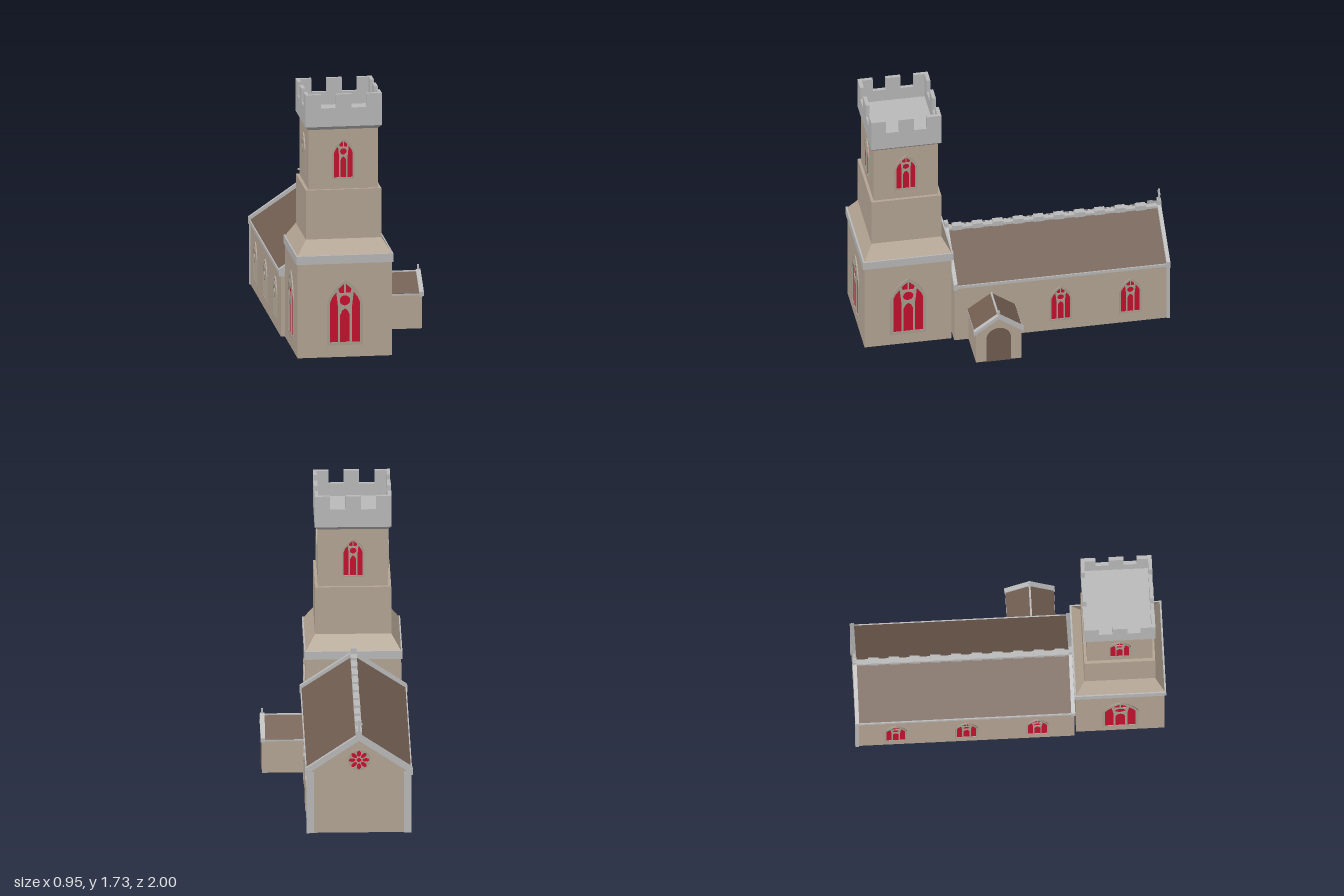
import * as THREE from 'three';

const mat = (name, color, side = THREE.FrontSide) => {
  const m = new THREE.MeshStandardMaterial({ color, side });
  m.name = name;
  return m;
};
const WALL = mat('sandstone', 0xb5a695, THREE.DoubleSide);
const TRIM = mat('grey stone', 0xbababa);
const ROOF = mat('brown tiles', 0x715d50, THREE.DoubleSide);
const GLASS = mat('red glass', 0xc8102e, THREE.DoubleSide);
const TRACERY = mat('tracery stone', 0xaba092);

const CX = -0.132; // shared axis of tower and nave
const TZ = 0.705;  // tower centre

function add(parent, name, geometry, material, x = 0, y = 0, z = 0) {
  const m = new THREE.Mesh(geometry, material);
  m.name = name;
  m.position.set(x, y, z);
  parent.add(m);
  return m;
}

function group(parent, name, x = 0, y = 0, z = 0, ry = 0) {
  const g = new THREE.Group();
  g.name = name;
  g.position.set(x, y, z);
  g.rotation.y = ry;
  parent.add(g);
  return g;
}

// box given by its centre x, z and its lower and upper height
function box(parent, name, material, w, d, y0, y1, x = 0, z = 0) {
  return add(parent, name, new THREE.BoxGeometry(w, y1 - y0, d), material, x, (y0 + y1) / 2, z);
}

// box whose top has another size than its bottom
function frustum(parent, name, material, w0, d0, w1, d1, y0, y1) {
  const g = new THREE.BoxGeometry(w0, y1 - y0, d0);
  const p = g.attributes.position;
  for (let i = 0; i < p.count; i++) {
    if (p.getY(i) > 0) {
      p.setX(i, p.getX(i) * w1 / w0);
      p.setZ(i, p.getZ(i) * d1 / d0);
    }
  }
  g.computeVertexNormals();
  return add(parent, name, g, material, 0, (y0 + y1) / 2, 0);
}

const poly = (pts) => new THREE.Shape(pts.map(([x, y]) => new THREE.Vector2(x, y)));
const extrude = (shape, depth) =>
  new THREE.ExtrudeGeometry(shape, { depth, bevelEnabled: false, curveSegments: 10 });

// pentagonal gable and the inverted V that covers it
const gable = (half, eave, apex, depth) =>
  extrude(poly([[-half, 0], [half, 0], [half, eave], [0, apex], [-half, eave]]), depth);
const chevron = (half, eave, apex, t, depth) =>
  extrude(poly([[-half, eave], [-half, eave - t], [0, apex - t], [half, eave - t], [half, eave], [0, apex]]), depth);

function arch(half, spring, apex) {
  const s = new THREE.Shape();
  s.moveTo(-half, 0);
  s.lineTo(half, 0);
  s.lineTo(half, spring);
  s.quadraticCurveTo(half * 0.77, spring + (apex - spring) * 0.69, 0, apex);
  s.quadraticCurveTo(-half * 0.77, spring + (apex - spring) * 0.69, -half, spring);
  return s;
}

// three-light pointed window
const paneGeometry = new THREE.ShapeGeometry(arch(0.112, 0.27, 0.42), 10);
const traceryShape = arch(0.117, 0.27, 0.43);
traceryShape.holes.push(poly([[-0.031, 0.02], [0.031, 0.02], [0.031, 0.2], [0.018, 0.228], [0, 0.242], [-0.018, 0.228], [-0.031, 0.2]]));
for (const s of [-1, 1]) {
  traceryShape.holes.push(
    poly([[0.045, 0.02], [0.098, 0.02], [0.098, 0.28], [0.082, 0.318], [0.056, 0.35], [0.045, 0.25]].map(([x, y]) => [s * x, y])),
    poly([[0.005, 0.344], [0.005, 0.405], [0.043, 0.372], [0.036, 0.346]].map(([x, y]) => [s * x, y])));
}
traceryShape.holes.push(new THREE.Path().absarc(0, 0.295, 0.034, 0, Math.PI * 2));
const traceryGeometry = extrude(traceryShape, 0.008);

function pointedWindow(parent, x, y, z, ry, scale = 1) {
  const g = group(parent, 'window', x, y, z, ry);
  g.scale.set(scale, scale, 1);
  add(g, 'windowGlass', paneGeometry, GLASS, 0, 0, 0.003);
  add(g, 'windowTracery', traceryGeometry, TRACERY);
}

function cross(parent, y, h, z) {
  const g = group(parent, 'cross', 0, y, z);
  box(g, 'crossPost', TRIM, 0.012, 0.012, 0, h);
  box(g, 'crossArms', TRIM, h * 0.6, 0.011, h * 0.55, h * 0.7);
}

function buildTower(root) {
  const t = group(root, 'tower', CX, 0, TZ);
  const base = box(t, 'towerBase', WALL, 0.612, 0.568, 0, 0.64);
  // leave the foot and head of the base open
  const idx = Array.from(base.geometry.index.array);
  idx.splice(12, 12);
  base.geometry.setIndex(idx);
  base.geometry.clearGroups();
  box(t, 'towerBand', TRIM, 0.63, 0.59, 0.62, 0.675);
  frustum(t, 'towerSlope', WALL, 0.612, 0.568, 0.49, 0.456, 0.675, 0.77);
  box(t, 'towerMiddle', WALL, 0.49, 0.456, 0.77, 1.095);
  box(t, 'towerUpper', WALL, 0.45, 0.42, 1.095, 1.49);
  for (let i = 0; i < 4; i++) {
    const a = i * Math.PI / 2;
    const dx = Math.sin(a), dz = Math.cos(a);
    pointedWindow(t, dx * 0.225, 1.16, dz * 0.21, a, 0.62);
    if (i !== 2) pointedWindow(t, dx * 0.306, 0.08, dz * 0.284, a);
  }
  // battlements
  const W = 0.495, D = 0.458, T = 0.024;
  frustum(t, 'parapetFlare', TRIM, 0.45, 0.42, W, D, 1.49, 1.512);
  box(t, 'parapetFloor', TRIM, W, D, 1.512, 1.55);
  for (const s of [-1, 1]) {
    const x = s * (W - T) / 2, z = s * (D - T) / 2;
    box(t, 'parapetWall', TRIM, W, T, 1.55, 1.635, 0, z);
    box(t, 'parapetWall', TRIM, T, D, 1.55, 1.635, x, 0);
    for (const k of [-1, 0, 1]) {
      box(t, 'merlon', TRIM, 0.1, T, 1.635, 1.725, k * (W - 0.1) / 2, z);
      box(t, 'merlon', TRIM, T, 0.096, 1.635, 1.725, x, k * (D - 0.096) / 2);
    }
  }
}

function buildNave(root) {
  const n = group(root, 'nave', CX, 0, 0);
  for (const s of [-1, 1]) {
    box(n, 'naveSideWall', WALL, 0.01, 1.38, 0, 0.415, s * 0.327, -0.295);
    box(n, 'eaves', TRIM, 0.02, 1.38, 0.41, 0.43, s * 0.332, -0.295);
    box(n, 'backPilaster', TRIM, 0.05, 0.024, 0, 0.42, s * 0.313, -0.988);
    for (const z of [-0.988, 0.401]) box(n, 'kneeler', TRIM, 0.035, 0.026, 0.4, 0.445, s * 0.328, z);
    for (const z of s > 0 ? [-0.285, -0.74] : [0.17, -0.285, -0.74]) {
      pointedWindow(n, s * 0.332, 0.075, z, s * Math.PI / 2, 0.62);
      pointedWindow(n, s * 0.322, 0.075, z, -s * Math.PI / 2, 0.62);
    }
  }
  for (const z of [-0.993, 0.392]) add(n, 'gableWall', gable(0.332, 0.415, 0.645, 0.016), WALL, 0, 0, z);
  add(n, 'naveRoof', chevron(0.337, 0.428, 0.655, 0.015, 1.38), ROOF, 0, 0, -0.985);
  for (const z of [-1, 0.388]) {
    add(n, 'gableCoping', chevron(0.345, 0.447, 0.683, 0.045, 0.025), TRIM, 0, 0, z);
    box(n, 'apexBlock', TRIM, 0.04, 0.025, 0.65, 0.703, 0, z + 0.0125);
  }
  cross(n, 0.7, 0.08, -0.989);
  // ridge tiles
  box(n, 'ridge', TRIM, 0.035, 1.37, 0.635, 0.66, 0, -0.295);
  for (let i = 0; i < 10; i++) box(n, 'ridgeTile', TRIM, 0.042, 0.066, 0.64, 0.676, 0, 0.33 - i * 0.133);
  // round window in the back gable
  const rose = group(n, 'roseWindow', 0, 0.505, -0.993, Math.PI);
  add(rose, 'roseGlass', new THREE.CircleGeometry(0.07, 24), GLASS, 0, 0, 0.003);
  const ring = new THREE.Shape().absarc(0, 0, 0.074, 0, Math.PI * 2);
  ring.holes.push(new THREE.Path().absarc(0, 0, 0.015, 0, Math.PI * 2));
  for (let i = 0; i < 8; i++) {
    const a = i * Math.PI / 4;
    ring.holes.push(new THREE.Path().absellipse(Math.cos(a) * 0.044, Math.sin(a) * 0.044, 0.022, 0.0135, 0, Math.PI * 2, false, a));
  }
  add(rose, 'roseTracery', extrude(ring, 0.008), TRACERY);
}

function buildPorch(root) {
  // local z runs outwards from the nave wall
  const p = group(root, 'porch', 0.195, 0, 0.167, Math.PI / 2);
  add(p, 'porchWalls', gable(0.148, 0.222, 0.33, 0.27), WALL);
  add(p, 'porchRoof', chevron(0.155, 0.236, 0.345, 0.014, 0.255), ROOF);
  for (const s of [-1, 1]) {
    box(p, 'porchEaves', TRIM, 0.014, 0.26, 0.222, 0.234, s * 0.15, 0.13);
    box(p, 'porchKneeler', TRIM, 0.02, 0.03, 0.222, 0.245, s * 0.152, 0.265);
  }
  add(p, 'porchCoping', chevron(0.162, 0.243, 0.357, 0.028, 0.03), TRIM, 0, 0, 0.25);
  box(p, 'porchRidge', TRIM, 0.012, 0.25, 0.335, 0.349, 0, 0.125);
  cross(p, 0.35, 0.036, 0.265);
  const door = new THREE.Shape();
  door.moveTo(-0.08, 0);
  door.lineTo(0.08, 0);
  door.lineTo(0.08, 0.175);
  door.absarc(0, 0.175, 0.08, 0, Math.PI);
  add(p, 'porchDoor', extrude(door, 0.004), ROOF, 0, 0, 0.27);
}

export function createModel() {
  const root = new THREE.Group();
  root.name = 'church';
  buildTower(root);
  buildNave(root);
  buildPorch(root);
  return root;
}
